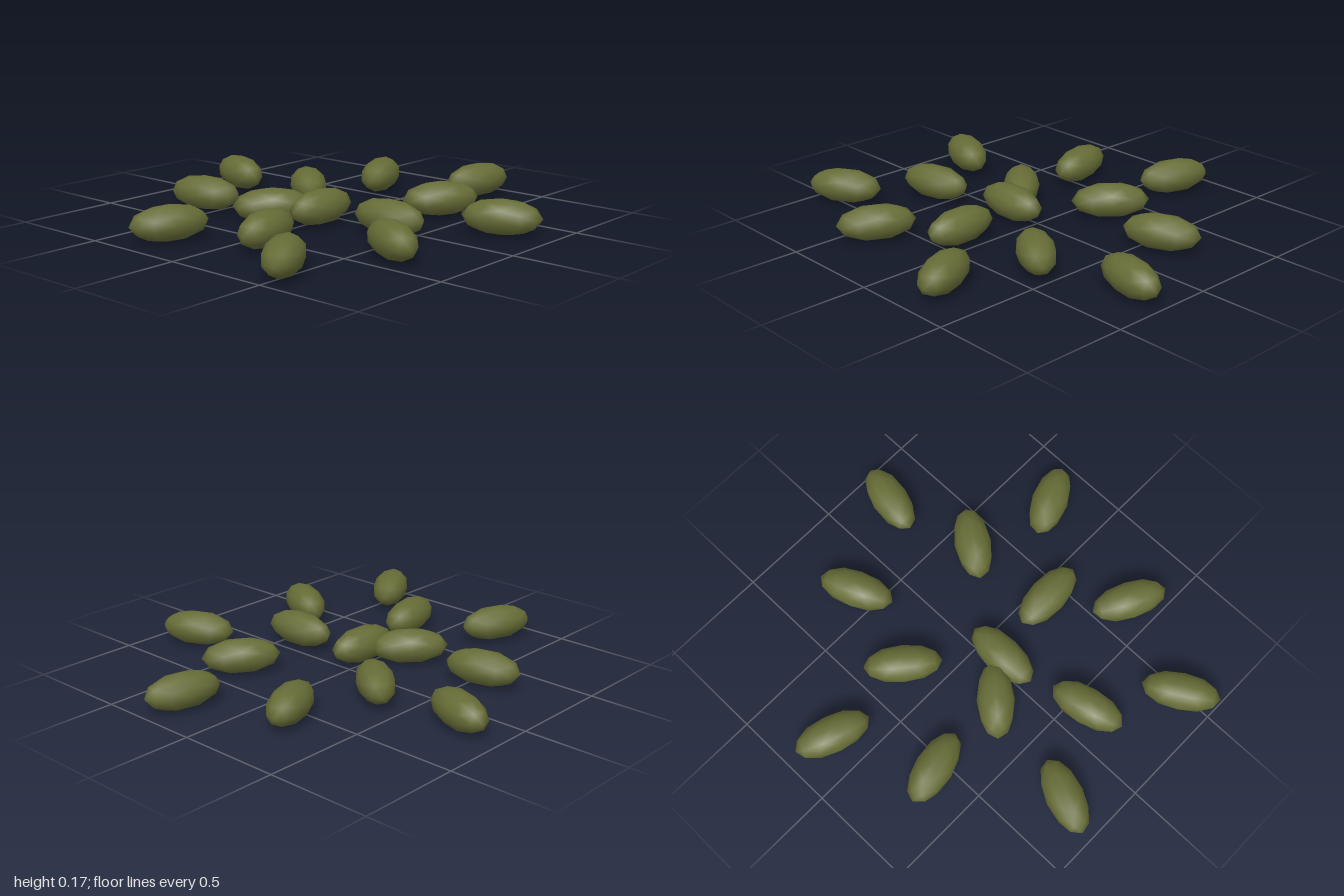
import * as THREE from 'three';
import { mergeVertices } from 'three/addons/utils/BufferGeometryUtils.js';

// Low-poly, smooth-shaded oval lying along x
function seedGeometry() {
  const g = new THREE.IcosahedronGeometry(1, 1);
  g.deleteAttribute('normal');
  g.deleteAttribute('uv');
  const oval = mergeVertices(g, 1e-4);
  oval.scale(0.183, 0.083, 0.088);
  oval.computeVertexNormals();
  return oval;
}

export function createModel() {
  const group = new THREE.Group();
  group.name = 'scatteredSeeds';
  const olive = new THREE.MeshStandardMaterial({ color: 0x666c36 });
  olive.name = 'olive green';
  const geometry = seedGeometry();

  // Each seed: centre x, centre z, turn about y in degrees
  const seeds = [
    [0.16, -0.77, 71],
    [-0.28, -0.56, 103],
    [-0.79, -0.25, -22],
    [-0.26, -0.14, -43],
    [0.17, -0.31, 50],
    [0.59, -0.20, 23],
    [-0.13, 0.04, -1],
    [-0.58, 0.13, 12],
    [0.81, 0.24, -13],
    [0.36, 0.35, -35],
    [-0.08, 0.40, -88],
    [-0.84, 0.48, 31],
    [-0.37, 0.65, 63],
    [0.25, 0.77, -66],
  ];
  seeds.forEach(([x, z, turn], i) => {
    const seed = new THREE.Mesh(geometry, olive);
    seed.name = `seed${i + 1}`;
    seed.position.set(x, 0.083, z);
    seed.rotation.y = THREE.MathUtils.degToRad(turn);
    group.add(seed);
  });
  return group;
}
